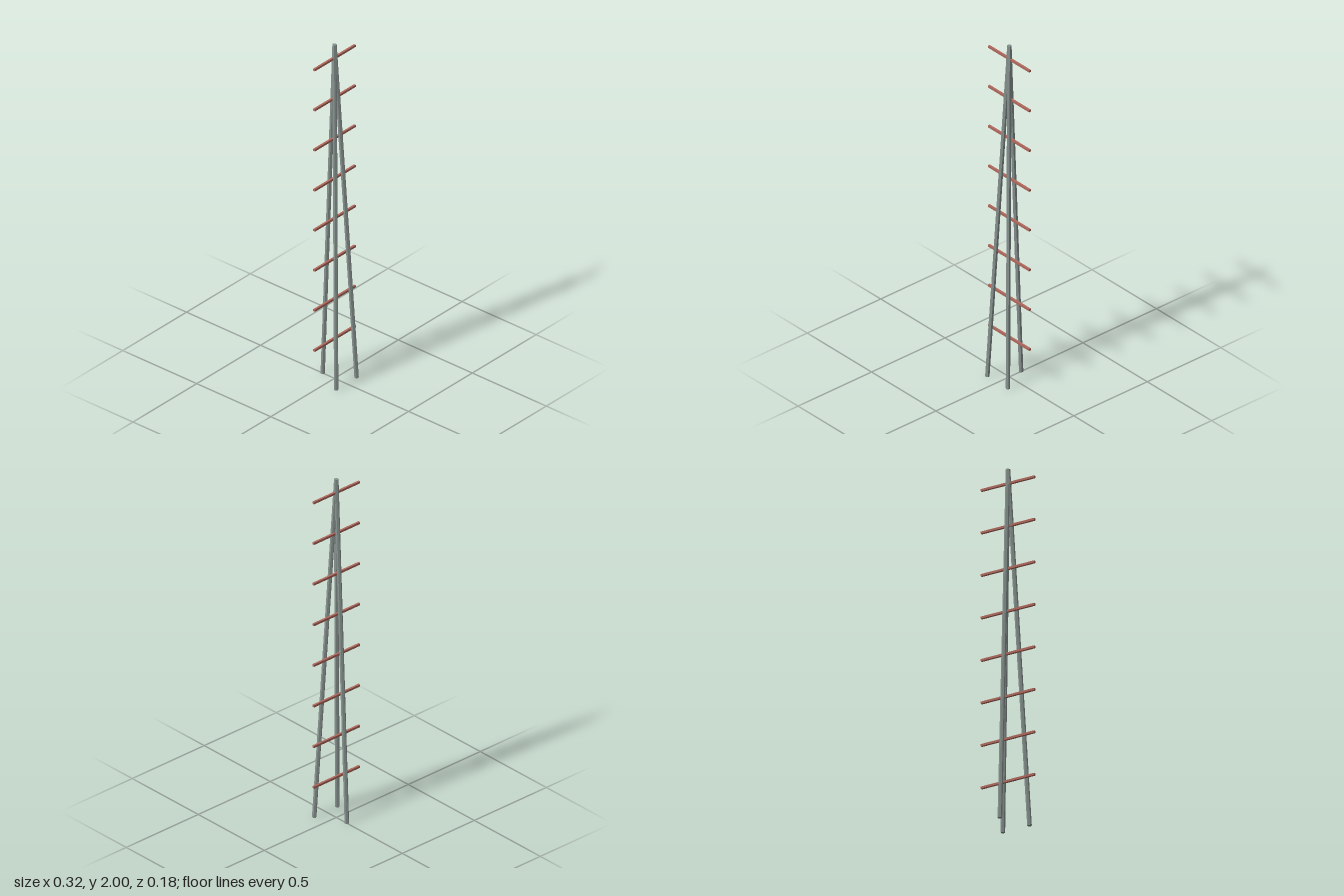
import * as THREE from 'three';

const steel = new THREE.MeshStandardMaterial({ color: 0x87928f, flatShading: true });
const rungRed = new THREE.MeshStandardMaterial({ color: 0xb0685c, flatShading: true });

// Straight six-sided pole between two points
function pole(name, from, to, radius) {
  const dir = to.clone().sub(from);
  const mesh = new THREE.Mesh(new THREE.CylinderGeometry(radius, radius, dir.length(), 6), steel);
  mesh.name = name;
  mesh.position.copy(from).lerp(to, 0.5);
  mesh.quaternion.setFromUnitVectors(new THREE.Vector3(0, 1, 0), dir.normalize());
  return mesh;
}

export function createModel() {
  const group = new THREE.Group();
  group.name = 'tripodLadder';

  // Three legs meeting at the apex
  const apex = new THREE.Vector3(0, 1.999, 0);
  const feet = { leftLeg: [0.08, 0.08], rightLeg: [-0.08, 0.08], backLeg: [0, -0.08] };
  for (const [name, [x, z]] of Object.entries(feet)) {
    group.add(pole(name, new THREE.Vector3(x, 0.001, z), apex, 0.012));
  }

  // Evenly spaced rungs through the centre
  const rungGeometry = new THREE.BoxGeometry(0.32, 0.012, 0.012);
  for (let i = 1; i <= 8; i++) {
    const rung = new THREE.Mesh(rungGeometry, rungRed);
    rung.name = `rung${i}`;
    rung.position.y = 0.24 * i;
    group.add(rung);
  }
  return group;
}
